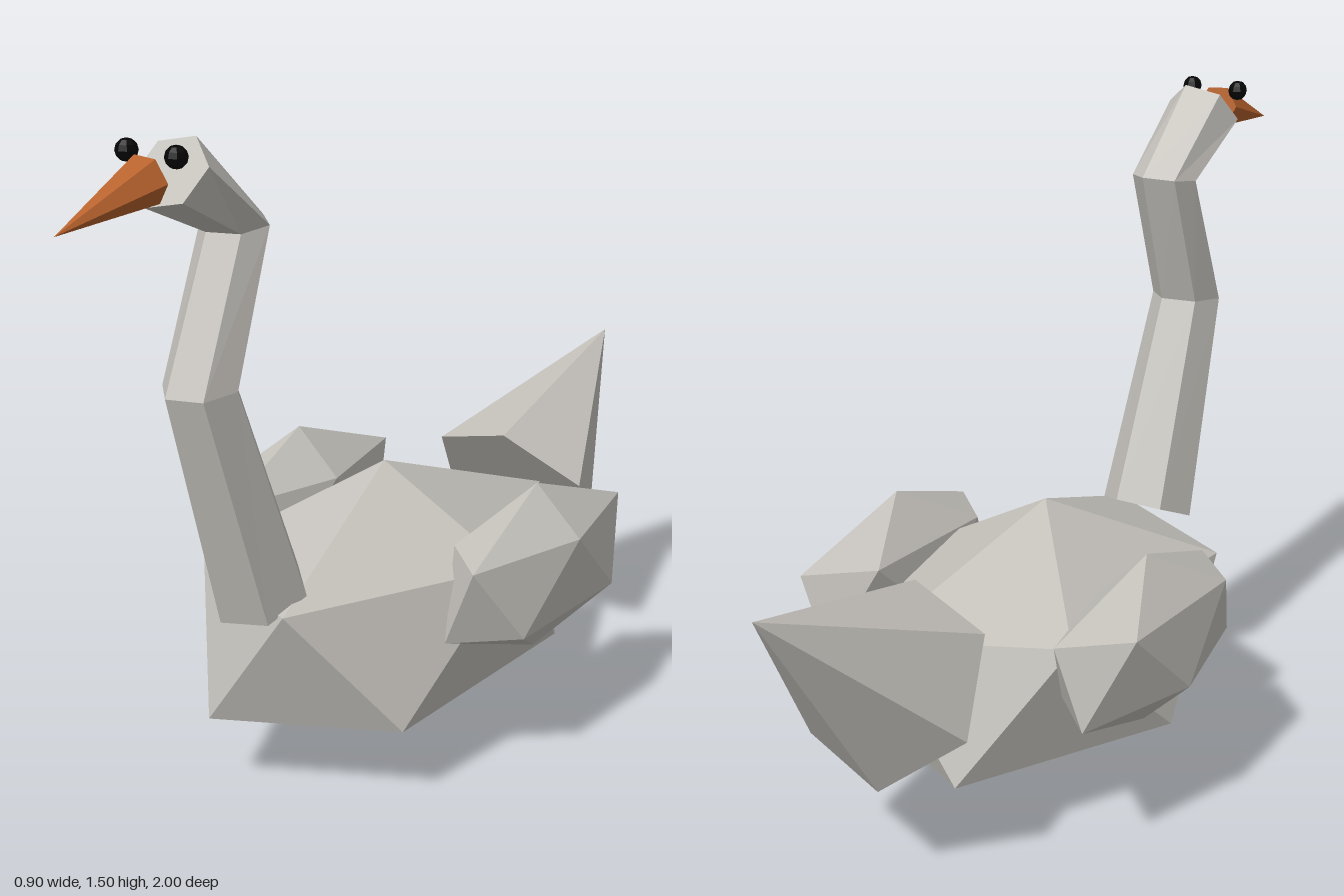
import * as THREE from 'three';

const plumage = new THREE.MeshStandardMaterial({ color: 0xc4c1bb, flatShading: true });
plumage.name = 'plumage grey';
const orange = new THREE.MeshStandardMaterial({ color: 0xb8632d, flatShading: true });
orange.name = 'beak orange';
const black = new THREE.MeshStandardMaterial({ color: 0x050505, flatShading: true });
black.name = 'eye black';

function mesh(name, geometry, material) {
  const m = new THREE.Mesh(geometry, material);
  m.name = name;
  return m;
}

// Icosahedron standing on a corner, stretched to the given radii
function gem(rx, ry, rz) {
  const g = new THREE.IcosahedronGeometry(1, 0);
  g.rotateZ(-Math.atan(2 / (1 + Math.sqrt(5))));
  g.scale(rx, ry, rz);
  g.computeVertexNormals();
  return g;
}

// Six-sided loft. Each ring is [lowY, lowZ, highY, highZ, radiusX]:
// its two extremes in the side plane and its half width.
function hexLoft(rings, turnDegrees) {
  const turn = THREE.MathUtils.degToRad(turnDegrees);
  const reach = Math.max(...Array.from({ length: 6 }, (_, k) => Math.sin(turn + k * Math.PI / 3)));
  const centers = rings.map(([y0, z0, y1, z1]) => new THREE.Vector3(0, (y0 + y1) / 2, (z0 + z1) / 2));
  const corner = (i, k) => {
    const [y0, z0, y1, z1, rx] = rings[i];
    const a = turn + (k % 6) * Math.PI / 3;
    const s = Math.sin(a) / reach / 2;
    return new THREE.Vector3(rx * Math.cos(a), centers[i].y + s * (y1 - y0), centers[i].z + s * (z1 - z0));
  };
  const points = [];
  const last = rings.length - 1;
  for (let k = 0; k < 6; k++) {
    for (let i = 0; i < last; i++) {
      const a = corner(i, k), b = corner(i, k + 1), c = corner(i + 1, k + 1), d = corner(i + 1, k);
      if (rings[i][4] > 0) points.push(a, b, c);
      if (rings[i + 1][4] > 0) points.push(a, c, d);
      // A pointed start still needs its fan triangle
      else if (rings[i][4] === 0) points.push(a, c, d);
    }
    // End caps
    if (rings[0][4] > 0) points.push(centers[0], corner(0, k + 1), corner(0, k));
    if (rings[last][4] > 0) points.push(centers[last], corner(last, k), corner(last, k + 1));
  }
  const g = new THREE.BufferGeometry().setFromPoints(points);
  g.computeVertexNormals();
  return g;
}

export function createModel() {
  const bird = new THREE.Group();
  bird.name = 'bird';

  const body = mesh('body', gem(0.38, 0.327, 0.597), plumage);
  body.position.set(0, 0.33, -0.005);
  bird.add(body);

  // Wings and eyes
  for (const [side, x] of [['left', 1], ['right', -1]]) {
    const wing = mesh(side + 'Wing', gem(0.127, 0.197, 0.364), plumage);
    wing.position.set(x * 0.336, 0.443, -0.12);
    const eye = mesh(side + 'Eye', new THREE.SphereGeometry(0.023, 8, 6), black);
    eye.position.set(x * 0.062, 1.477, 0.737);
    bird.add(wing, eye);
  }

  // Bent neck ending in the head
  bird.add(mesh('neckAndHead', hexLoft([
    [0.447, 0.544, 0.53, 0.353, 0.111],
    [0.982, 0.70, 0.995, 0.54, 0.083],
    [1.292, 0.566, 1.31, 0.437, 0.078],
    [1.37, 0.737, 1.497, 0.635, 0.088],
  ], 15), plumage));

  // Beak, from base to tip
  bird.add(mesh('beak', hexLoft([
    [1.385, 0.743, 1.476, 0.759, 0.052],
    [1.368, 1.0, 1.368, 1.0, 0],
  ], -4), orange));

  // Tail, from tip to base
  bird.add(mesh('tail', hexLoft([
    [0.735, -1.0, 0.735, -1.0, 0],
    [0.246, -0.70, 0.604, -0.437, 0.22],
  ], 18), plumage));

  return bird;
}
